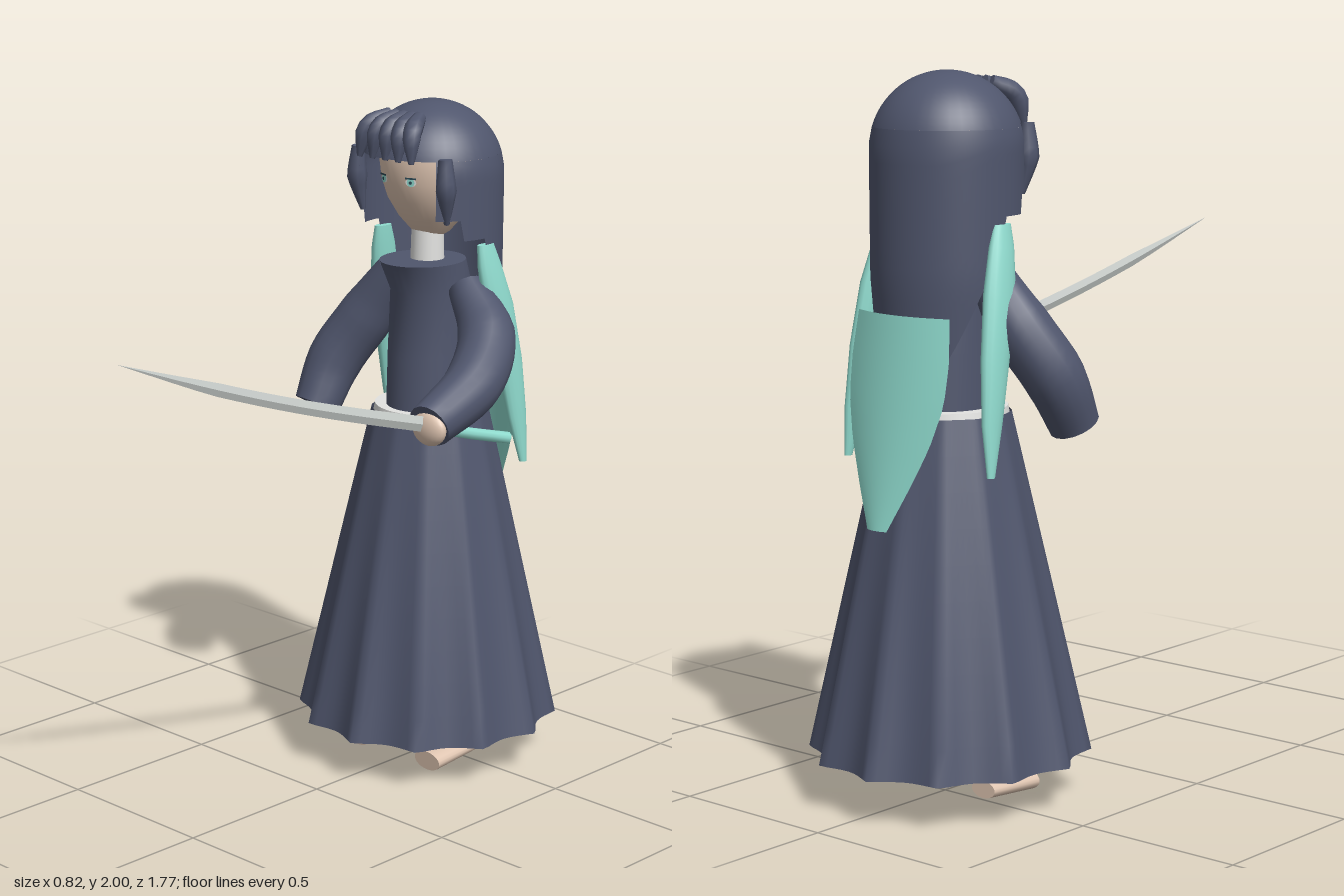
import * as THREE from 'three';

const CX = -0.015, CZ = -0.495; // body axis
const mat = (name, color, side = THREE.DoubleSide) => {
  const m = new THREE.MeshStandardMaterial({ color, side });
  m.name = name;
  return m;
};

// Grid surface: fn(row 0..1, column 0..1) gives [x, y, z]
function surface(rows, cols, fn, closed = false) {
  const pos = [], idx = [], n = closed ? cols : cols + 1;
  for (let i = 0; i <= rows; i++) for (let j = 0; j < n; j++) pos.push(...fn(i / rows, j / cols));
  for (let i = 0; i < rows; i++) for (let j = 0; j < cols; j++) {
    const k = (j + 1) % n, a = i * n + j, b = a + n, c = i * n + k, d = c + n;
    idx.push(a, b, c, b, d, c);
  }
  const g = new THREE.BufferGeometry();
  g.setAttribute('position', new THREE.Float32BufferAttribute(pos, 3));
  g.setIndex(idx);
  g.computeVertexNormals();
  return g;
}

// Smooth value along a list of evenly spaced numbers
function along(list, t) {
  const f = t * (list.length - 1), i = Math.min(Math.floor(f), list.length - 2);
  return THREE.MathUtils.lerp(list[i], list[i + 1], f - i);
}

// Horizontal elliptical sections [x, y, z, rx, rz], bottom to top, capped
function loft(sections, sides = 24) {
  const shut = s => [s[0], s[1], s[2], 0, 0], first = sections[0], last = sections.at(-1);
  const all = [shut(first), first, ...sections, last, shut(last)];
  return surface(all.length - 1, sides, (t, u) => {
    const [x, y, z, rx, rz] = all[Math.round(t * (all.length - 1))], a = u * Math.PI * 2;
    return [x + rx * Math.cos(a), y, z + rz * Math.sin(a)];
  }, true);
}

// Round tube of changing radius through points, capped
function limb(points, radii, steps = 16, sides = 16) {
  const curve = new THREE.CatmullRomCurve3(points.map(p => new THREE.Vector3(...p)));
  const { normals, binormals } = curve.computeFrenetFrames(steps);
  const rows = steps + 4;
  return surface(rows, sides, (t, u) => {
    const row = Math.round(t * rows), k = THREE.MathUtils.clamp(row - 2, 0, steps);
    const r = row === 0 || row === rows ? 0 : along(radii, k / steps);
    const a = u * Math.PI * 2;
    return curve.getPoint(k / steps)
      .addScaledVector(normals[k], r * Math.cos(a))
      .addScaledVector(binormals[k], -r * Math.sin(a)).toArray();
  }, true);
}

export function createModel() {
  const model = new THREE.Group();
  model.name = 'swordFighter';
  const dark = mat('dark slate cloth and hair', 0x50566d);
  const teal = mat('teal hair ends', 0x90dccf);
  const skin = mat('skin', 0xdfc5b1);
  const white = mat('white cloth', 0xe2e2e0);
  const steel = mat('steel', 0xc6cbc8);
  const ink = mat('eye dark', 0x2c4a56);

  const add = (name, geometry, material, x = 0, y = 0, z = 0, parent = model) => {
    const m = new THREE.Mesh(geometry, material);
    m.name = name;
    m.position.set(x, y, z);
    parent.add(m);
    return m;
  };

  // Pleated skirt with twelve ridges
  add('skirt', surface(10, 96, (t, u) => {
    const a = u * Math.PI * 2;
    const fold = 1 - THREE.MathUtils.lerp(0.1, 0.02, t) * Math.abs(Math.sin(6 * (a - 0.384)));
    const r = THREE.MathUtils.lerp(0.395, 0.175, t) * fold;
    return [CX + r * Math.cos(a), 0.13 + 0.95 * t, CZ + r * Math.sin(a)];
  }, true), dark);
  add('belt', new THREE.CylinderGeometry(0.165, 0.17, 0.03, 40), white, CX, 1.08, CZ);

  // Torso with a collar that leans forward
  add('torso', loft([
    [CX, 1.07, CZ, 0.123, 0.14], [CX, 1.25, CZ, 0.121, 0.135],
    [CX, 1.44, CZ, 0.118, 0.125], [CX, 1.535, -0.455, 0.12, 0.135],
  ], 32), dark);
  add('neck', new THREE.CylinderGeometry(0.047, 0.05, 0.11, 24), white, CX, 1.575, -0.475);

  // Arms
  add('rightSleeve', limb(
    [[-0.155, 1.48, -0.49], [-0.25, 1.33, -0.47], [-0.325, 1.19, -0.41], [-0.335, 1.055, -0.34]],
    [0.055, 0.085, 0.085, 0.07]), dark);
  add('leftSleeve', limb(
    [[0.135, 1.47, -0.48], [0.25, 1.355, -0.44], [0.32, 1.25, -0.31], [0.338, 1.165, -0.105]],
    [0.055, 0.085, 0.085, 0.066]), dark);
  add('leftHand', new THREE.SphereGeometry(1, 20, 14), skin, 0.342, 1.16, -0.1).scale.set(0.06, 0.05, 0.028);

  // Sword
  add('swordHandle', limb([[0.345, 1.165, -0.1], [0.365, 1.12, -0.25], [0.385, 1.085, -0.385]],
    [0.017, 0.017], 4, 10), teal);
  const sword = new THREE.Group();
  sword.name = 'sword';
  sword.position.set(0.34, 1.17, -0.1);
  sword.lookAt(0.16, 1.49, 0.89);
  model.add(sword);
  const blade = surface(16, 4, (t, u) => {
    const a = u * Math.PI * 2, taper = t < 0.7 ? 1 - 0.25 * t : (1 - t) * 2.75;
    return [0.008 * taper * Math.cos(a), 0.022 * taper * Math.sin(a) - 0.018 * Math.sin(Math.PI * t), t * 1.055];
  }, true).toNonIndexed();
  blade.computeVertexNormals();
  add('blade', blade, steel, 0, 0, 0, sword);

  // Feet
  for (const [name, x] of [['rightFoot', -0.16], ['leftFoot', 0.13]]) {
    const foot = add(name, new THREE.CylinderGeometry(0.05, 0.042, 0.18, 20).rotateX(Math.PI / 2).scale(1, 0.58, 1),
      skin, x, 0.037, -0.43);
    foot.rotation.x = 0.05;
  }

  // Head
  const face = [[0, 1.595], [0.03, 1.6], [0.055, 1.615], [0.095, 1.66], [0.128, 1.715], [0.146, 1.77],
    [0.155, 1.84], [0.14, 1.91], [0, 1.97]].map(p => new THREE.Vector2(...p));
  add('head', new THREE.LatheGeometry(face, 36), skin, CX, 0, -0.49);
  for (const s of [-1, 1]) {
    const eye = new THREE.Group();
    eye.name = s < 0 ? 'rightEye' : 'leftEye';
    eye.position.set(CX + s * 0.051, 1.78, -0.347);
    eye.rotation.y = s * 0.33;
    model.add(eye);
    add('eyeWhite', new THREE.CircleGeometry(0.017, 16).scale(1, 0.7, 1), white, 0, 0, 0.002, eye);
    add('iris', new THREE.CircleGeometry(0.012, 16), teal, 0, 0, 0.004, eye);
    add('pupil', new THREE.CircleGeometry(0.005, 12), ink, 0, 0, 0.006, eye);
    add('lash', new THREE.PlaneGeometry(0.034, 0.005), ink, 0, 0.012, 0.006, eye);
  }

  // Hair: dome, then a curtain that leaves the face open and falls to a point behind
  const R = 0.21, open = 0.8, domeEnd = Math.acos(0.06 / R);
  add('hairDome', new THREE.SphereGeometry(R, 40, 14, 0, Math.PI * 2, 0, domeEnd), dark, CX, 1.79, -0.49);
  const hemAt = a => {
    const c = -Math.cos(a);
    if (c < -0.4) return 1.68;
    if (c < 0) return 1.62;
    return Math.max(1.21, 1.6 - 0.48 * c);
  };
  add('hairCurtain', surface(14, 80, (t, u) => {
    const a = open + u * 2 * (Math.PI - open);
    const y = THREE.MathUtils.lerp(1.85, hemAt(a), t);
    const r = y > 1.79 ? Math.sqrt(R * R - (y - 1.79) ** 2) : R - 0.018 * Math.max(0, (1.45 - y) / 0.24);
    return [CX + r * Math.sin(a), y, -0.49 + r * Math.cos(a)];
  }), dark);

  // Fringe and side locks
  for (let i = -2; i <= 2; i++) {
    const x = i * 0.046;
    add('fringeStrand', limb(
      [[CX + x * 0.6, 1.965, -0.375], [CX + x * 0.95, 1.93, -0.31], [CX + x * 1.1, 1.845, -0.292]],
      [0.02, 0.028, 0.026, 0.008], 8, 8), dark);
  }
  for (const s of [-1, 1]) {
    add('sideLock', limb(
      [[CX + s * 0.17, 1.86, -0.36], [CX + s * 0.175, 1.77, -0.36], [CX + s * 0.165, 1.67, -0.375]],
      [0.02, 0.03, 0.008], 8, 8), dark);

    // Teal side tails
    add('sideTail', loft([
      [CX + s * 0.263, 0.94, -0.615, 0.01, 0.012], [CX + s * 0.252, 1.08, -0.597, 0.02, 0.036],
      [CX + s * 0.24, 1.25, -0.57, 0.028, 0.05], [CX + s * 0.225, 1.42, -0.535, 0.03, 0.057],
      [CX + s * 0.21, 1.54, -0.51, 0.022, 0.045], [CX + s * 0.203, 1.6, -0.5, 0.015, 0.032],
    ], 16), teal);
  }

  // Teal back tail, a curved tapering sheet
  add('backTail', surface(14, 12, (t, u) => {
    const v = u * 2 - 1, w = along([0.165, 0.176, 0.172, 0.14, 0.09, 0.035], t);
    return [-0.018 + w * v, 1.36 - 0.57 * t, -0.703 - 0.085 * t + 0.035 * v * v * (w / 0.17)];
  }), teal);

  return model;
}
